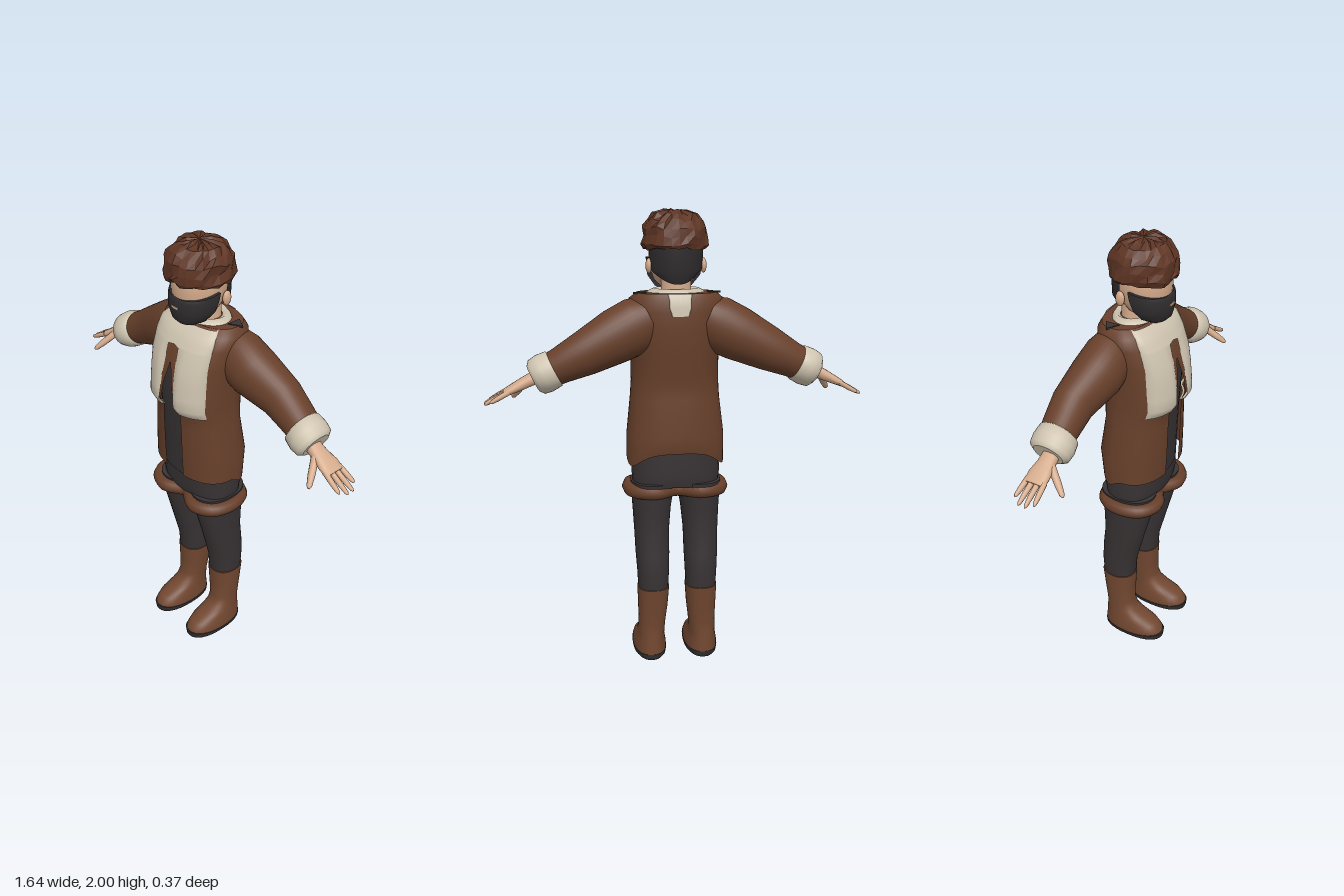
import * as THREE from 'three';

const mat = (name, color, extra = {}) => Object.assign(new THREE.MeshStandardMaterial({ color, ...extra }), { name });
const two = { side: THREE.DoubleSide };

// Surface through stacked rings. Section: [y, centreX, radiusX, backZ, frontZ, frontGap].
// opt: n = superellipse power, arc = angle range from the front, tweak = vertex rule.
function loft(sections, { n = 2, seg = 32, arc = null, caps = true, tweak = null } = {}) {
  const pos = [], idx = [];
  const open = !!arc || sections.some(s => s[5]);
  const cols = open ? seg + 1 : seg;
  sections.forEach(([y, cx, rx, z0, z1, gap = 0], i) => {
    const g = Math.asin(Math.pow(gap / rx, n / 2));
    const [a0, a1] = arc || [g, Math.PI * 2 - g];
    for (let j = 0; j < cols; j++) {
      const a = a0 + (a1 - a0) * j / seg, s = Math.sin(a), c = Math.cos(a);
      const p = [cx + rx * Math.sign(s) * Math.abs(s) ** (2 / n), y,
        (z0 + z1) / 2 + (z1 - z0) / 2 * Math.sign(c) * Math.abs(c) ** (2 / n)];
      if (tweak) tweak(p, i, c, s);
      pos.push(...p);
    }
  });
  const at = (i, j) => i * cols + j % cols;
  for (let i = 0; i < sections.length - 1; i++)
    for (let j = 0; j < seg; j++)
      idx.push(at(i, j), at(i, j + 1), at(i + 1, j + 1), at(i, j), at(i + 1, j + 1), at(i + 1, j));
  if (caps) for (const i of [0, sections.length - 1]) {
    const base = pos.length / 3, [y, cx, , z0, z1] = sections[i];
    pos.push(...pos.slice(i * cols * 3, (i + 1) * cols * 3), cx, y, (z0 + z1) / 2);
    for (let j = 0; j < seg; j++) {
      const a = base + j, b = base + (j + 1) % cols;
      idx.push(base + cols, i ? a : b, i ? b : a);
    }
  }
  const geo = new THREE.BufferGeometry();
  geo.setAttribute('position', new THREE.Float32BufferAttribute(pos, 3));
  geo.setIndex(idx);
  geo.computeVertexNormals();
  return geo;
}

// Coat body, shared by the coat and the fleece laid over it
const coatN = 2.4;
const coat = [
  [0.94, 0, 0.215, -0.15, 0.14, 0.055], [1.04, 0, 0.213, -0.165, 0.145, 0.055],
  [1.2, 0, 0.195, -0.142, 0.15, 0.055], [1.27, 0, 0.19, -0.145, 0.152, 0.05],
  [1.31, 0, 0.19, -0.15, 0.176, 0.042], [1.4, 0, 0.19, -0.162, 0.172, 0.025],
  [1.5, 0, 0.2, -0.172, 0.152, 0], [1.58, 0, 0.205, -0.17, 0.118, 0],
  [1.63, 0, 0.2, -0.163, 0.085, 0], [1.655, 0, 0.17, -0.15, 0.05, 0]];

function coatZ(x, y, side) {
  let i = 0;
  while (i < coat.length - 2 && coat[i + 1][0] < y) i++;
  const a = coat[i], b = coat[i + 1], t = (y - a[0]) / (b[0] - a[0]);
  const [, , rx, z0, z1] = a.map((v, k) => v + (b[k] - v) * t);
  const k = Math.max(0, 1 - Math.abs(x / rx) ** coatN) ** (1 / coatN);
  return (z0 + z1) / 2 + side * (z1 - z0) / 2 * k;
}

// Fleece sheet over the coat; rows are [y, innerX, outerX], side = 1 front, -1 back
function fleece(rows, side, s, lift) {
  const pos = [], idx = [], n = 10;
  rows.forEach(([y, x0, x1], i) => {
    for (let j = 0; j <= n; j++) {
      const x = x0 + (x1 - x0) * Math.min(1, j / (n - 1));
      const dent = side > 0 ? 0.025 * Math.max(0, 1 - x / 0.06) : 0;
      const edge = j === n || (side > 0 && i === 0) ? -0.01 : lift;
      pos.push(x * s, y, coatZ(x, y, side) + side * (edge - dent * (y < 1.56 ? 1 : 0)));
    }
  });
  for (let i = 0; i < rows.length - 1; i++) for (let j = 0; j < n; j++) {
    const a = i * (n + 1) + j, b = a + 1, c = b + n + 1, d = a + n + 1;
    if (s * side > 0) idx.push(a, b, c, a, c, d); else idx.push(a, c, b, a, d, c);
  }
  const geo = new THREE.BufferGeometry();
  geo.setAttribute('position', new THREE.Float32BufferAttribute(pos, 3));
  geo.setIndex(idx);
  geo.computeVertexNormals();
  return geo;
}

export function createModel() {
  const model = new THREE.Group();
  model.name = 'figure';
  const M = {
    leather: mat('coat brown', 0x68402b, two), hair: mat('hair brown', 0x5e3524, { flatShading: true }),
    boot: mat('boot brown', 0x714730), cream: mat('fleece cream', 0xcfc4b0, two),
    dark: mat('trouser charcoal', 0x383334, two), beard: mat('beard charcoal', 0x302d2f, two),
    skin: mat('skin', 0xd4aa8b), sole: mat('sole grey', 0x353233),
  };
  const add = (name, geo, m, parent = model) => {
    const mesh = new THREE.Mesh(geo, m);
    mesh.name = name;
    parent.add(mesh);
    return mesh;
  };

  // Head and neck
  add('neck', loft([[1.6, 0, 0.075, -0.11, 0.02], [1.66, 0, 0.064, -0.097, 0.01], [1.76, 0, 0.064, -0.1, 0.02]]), M.skin);
  add('head', loft([[1.67, 0, 0.05, 0, 0.09], [1.7, 0, 0.085, -0.07, 0.105], [1.75, 0, 0.105, -0.112, 0.112],
    [1.8, 0, 0.11, -0.12, 0.116], [1.86, 0, 0.11, -0.12, 0.115], [1.94, 0, 0.08, -0.09, 0.08]]), M.skin);
  add('beard', loft([[1.657, 0, 0.05, 0.01, 0.1], [1.675, 0, 0.08, -0.04, 0.118], [1.72, 0, 0.113, -0.085, 0.127],
    [1.765, 0, 0.12, -0.11, 0.125], [1.8, 0, 0.122, -0.115, 0.117]],
  { arc: [-1.65, 1.65], tweak: (p, i, c) => { if (i === 4) p[1] -= 0.028 * Math.max(0, c); } }).clone(), M.beard);
  add('mouth', new THREE.BoxGeometry(0.04, 0.009, 0.008), M.skin).position.set(0, 1.735, 0.124);
  add('napeHair', loft([[1.69, 0, 0.095, -0.108, 0.08], [1.75, 0, 0.115, -0.132, 0.1], [1.87, 0, 0.122, -0.136, 0.11]],
    { arc: [1.85, 4.43], caps: false, tweak: (p, i, c, s) => { if (i === 0) p[1] += 0.045 * s * s; } }), M.beard);

  // Shaggy hair: rings roughened by a seeded rule
  let seed = 7;
  const rnd = () => (seed = (seed * 16807) % 2147483647) / 2147483647 - 0.5;
  const hairRows = [[1.835, 0, 0.13, -0.14, 0.132], [1.852, 0, 0.14, -0.15, 0.14], [1.885, 0, 0.136, -0.148, 0.138],
    [1.92, 0, 0.135, -0.138, 0.132], [1.95, 0, 0.118, -0.12, 0.115], [1.975, 0, 0.095, -0.09, 0.085], [1.99, 0, 0.05, -0.05, 0.045]];
  add('hair', loft(hairRows, { seg: 26, tweak: p => {
    const k = 1 + rnd() * 0.09;
    p[0] *= k; p[2] *= k; p[1] += rnd() * 0.018;
  } }), M.hair);

  // Coat with open front and sagging back hem, shirt beneath
  add('coat', loft(coat, { n: coatN, seg: 48, caps: false,
    tweak: (p, i, c) => { if (i === 0 && c < 0) p[1] += 0.035 * Math.sin(c * 4.2); } }), M.leather);
  add('coatTop', loft([[1.645, 0, 0.175, -0.152, 0.055], [1.6555, 0, 0.17, -0.15, 0.05]], { n: coatN }), M.leather);
  add('shirt', loft([[0.92, 0, 0.18, -0.12, 0.115], [1.2, 0, 0.17, -0.12, 0.13], [1.4, 0, 0.17, -0.12, 0.145],
    [1.5, 0, 0.17, -0.12, 0.12]], { n: 2.4 }), M.dark);
  add('collar', loft([[1.635, 0, 0.135, -0.135, 0.07], [1.66, 0, 0.12, -0.125, 0.052], [1.672, 0, 0.095, -0.118, 0.035],
    [1.655, 0, 0.07, -0.1, 0.015]], { caps: false }), M.cream);
  const front = [[1.265, 0.052, 0.16], [1.275, 0.052, 0.162], [1.31, 0.046, 0.165], [1.36, 0.04, 0.165], [1.43, 0.036, 0.165],
    [1.5, 0.032, 0.165], [1.568, 0.03, 0.165], [1.575, 0, 0.165], [1.6, 0, 0.163], [1.63, 0, 0.158], [1.654, 0, 0.14]];
  const nape = [[1.565, 0, 0.035], [1.6, 0, 0.045], [1.63, 0, 0.045], [1.655, 0, 0.05]];

  // Trousers' seat
  add('trouserSeat', loft([[0.815, 0, 0.19, -0.135, 0.1], [0.87, 0, 0.195, -0.145, 0.11], [1.0, 0, 0.19, -0.14, 0.11]], { n: 2.5 }), M.dark);

  // Rolled band around both thighs
  const half = [[0.1, 0.117], [0.18, 0.08], [0.205, -0.005], [0.18, -0.09], [0.1, -0.125]];
  const band = [[0, 0.07], ...half, [0, -0.075], ...half.map(([x, z]) => [-x, z]).reverse()];
  add('thighBand', new THREE.TubeGeometry(new THREE.CatmullRomCurve3(
    band.map(([x, z]) => new THREE.Vector3(x, 0.792, z)), true), 64, 0.031, 8, true), M.leather);

  for (const s of [1, -1]) {
    const side = s > 0 ? 'left' : 'right';
    add(side + 'FrontFleece', fleece(front, 1, s, 0.014), M.cream);
    add(side + 'NapeFleece', fleece(nape, -1, s, 0.005), M.cream);
    const patch = add(side + 'ShoulderPatch', new THREE.CylinderGeometry(0.036, 0.036, 0.008, 3), M.dark);
    patch.position.set(s * 0.15, 1.655, -0.07);
    patch.rotation.y = s * Math.PI / 2;
    const ear = add(side + 'Ear', new THREE.SphereGeometry(1, 12, 8), M.skin);
    ear.scale.set(0.014, 0.032, 0.02);
    ear.position.set(s * 0.116, 1.765, -0.045);

    // Leg and boot
    add(side + 'Leg', loft([[0.32, s * 0.108, 0.066, -0.145, 0.004], [0.42, s * 0.108, 0.071, -0.15, 0.012],
      [0.5, s * 0.109, 0.075, -0.144, 0.032], [0.6, s * 0.11, 0.077, -0.132, 0.058], [0.7, s * 0.108, 0.084, -0.135, 0.085],
      [0.83, s * 0.102, 0.098, -0.145, 0.108]], { n: 2.2 }), M.dark);
    add(side + 'Boot', loft([[0.025, s * 0.118, 0.074, -0.135, 0.163], [0.05, s * 0.118, 0.074, -0.134, 0.16],
      [0.08, s * 0.118, 0.068, -0.132, 0.135], [0.105, s * 0.117, 0.062, -0.13, 0.075], [0.13, s * 0.116, 0.06, -0.128, 0.025],
      [0.17, s * 0.114, 0.06, -0.127, 0.004], [0.25, s * 0.11, 0.066, -0.138, 0.004], [0.345, s * 0.108, 0.071, -0.15, 0.009]],
    { n: 2.3 }), M.boot);
    add(side + 'Sole', loft([[0, s * 0.118, 0.062, -0.125, 0.145], [0.012, s * 0.118, 0.073, -0.136, 0.163],
      [0.03, s * 0.118, 0.076, -0.137, 0.167]], { n: 2.3,
      tweak: (p, i, c) => { if (i === 2) p[1] += 0.012 * Math.max(0, c); } }), M.sole);

    // Arm: local y runs from shoulder to fingertips
    const arm = new THREE.Group();
    arm.name = side + 'Arm';
    arm.position.set(s * 0.17, 1.52, 0);
    arm.rotation.z = -s * THREE.MathUtils.degToRad(116);
    model.add(arm);
    add('sleeve', loft([[-0.06, 0, 0.1, -0.155, 0.02], [0, 0, 0.12, -0.17, 0.032], [0.1, 0, 0.116, -0.18, 0.03],
      [0.25, 0, 0.095, -0.187, -0.015], [0.36, 0, 0.077, -0.172, -0.015], [0.42, 0, 0.07, -0.16, -0.015]]), M.leather, arm);
    add('cuff', loft([[0.385, 0, 0.066, -0.15, -0.02], [0.395, 0, 0.08, -0.17, 0.002], [0.44, 0, 0.084, -0.174, 0.01],
      [0.475, 0, 0.078, -0.168, 0.006], [0.49, 0, 0.06, -0.145, -0.015]]), M.cream, arm);
    add('palm', loft([[0.46, 0, 0.03, -0.1, -0.035], [0.53, 0, 0.025, -0.103, -0.027], [0.58, 0, 0.02, -0.115, -0.018],
      [0.625, 0, 0.014, -0.113, -0.018]], { seg: 16, n: 2.3 }), M.skin, arm);
    const digit = (name, a, b, r) => {
      const p = new THREE.Vector3(...a), d = new THREE.Vector3(...b).sub(p), l = d.length();
      const m = add(name, loft([[0, 0, r, -r, r], [l * 0.6, 0, r * 0.9, -r * 0.9, r * 0.9], [l * 0.92, 0, r * 0.65, -r * 0.65, r * 0.65],
        [l, 0, r * 0.25, -r * 0.25, r * 0.25]], { seg: 10 }), M.skin, arm);
      m.position.copy(p);
      m.quaternion.setFromUnitVectors(new THREE.Vector3(0, 1, 0), d.normalize());
    };
    [0.695, 0.722, 0.724, 0.705].forEach((t, i) =>
      digit('finger', [0, 0.605, -0.103 + i * 0.025], [s * 0.004, t, -0.112 + i * 0.031], 0.012));
    digit('thumb', [0, 0.525, -0.045], [s * 0.05, 0.615, 0.045], 0.017);
  }
  return model;
}
